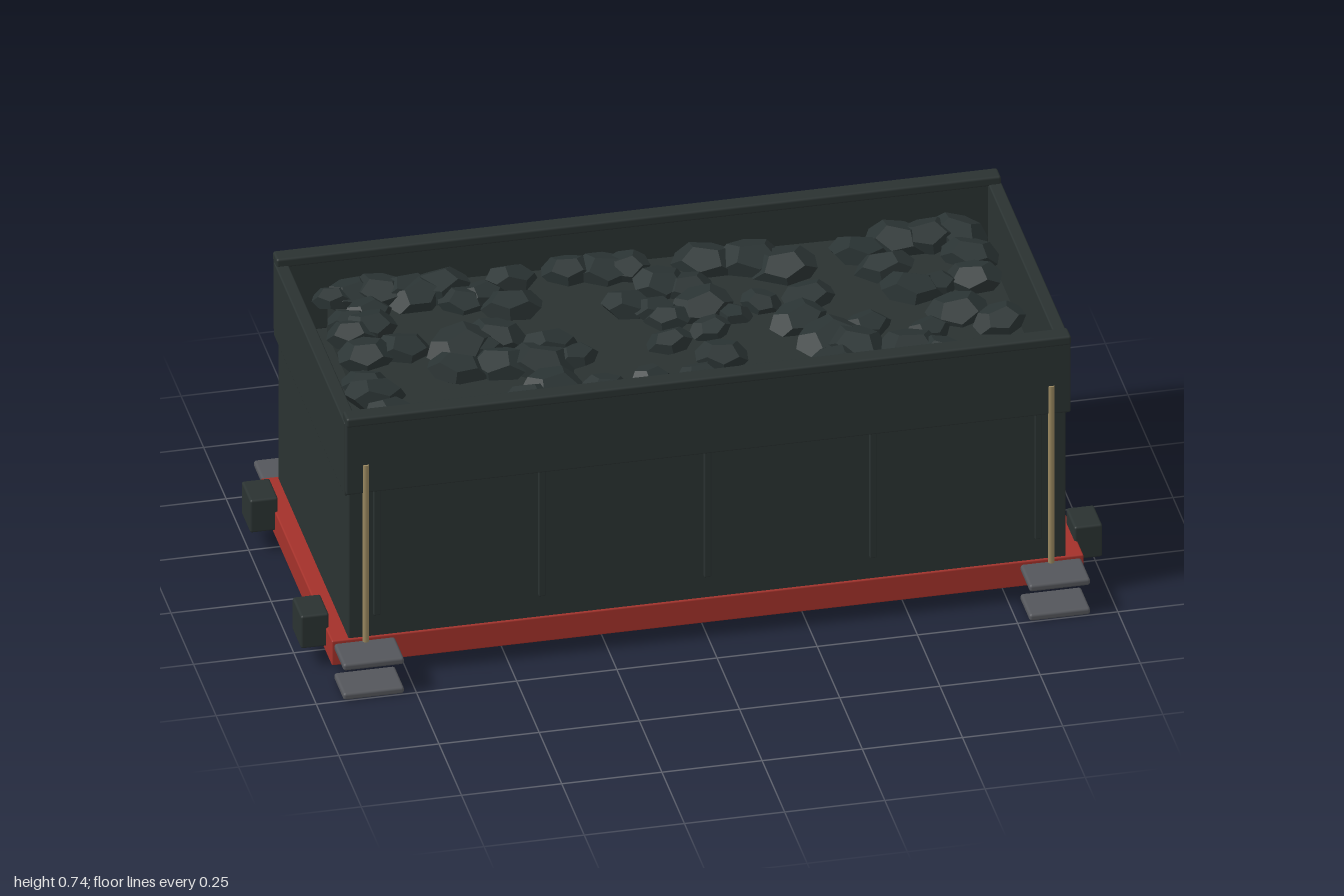
import * as THREE from 'three';
import { RoundedBoxGeometry } from 'three/addons/geometries/RoundedBoxGeometry.js';

const mat = (name, color, flatShading = false) => {
  const m = new THREE.MeshStandardMaterial({ color, flatShading });
  m.name = name;
  return m;
};

export function createModel() {
  const model = new THREE.Group();
  model.name = 'coalBunker';
  const dark = mat('dark paint', 0x2a3231);
  const red = mat('red frame paint', 0xa3312a);
  const steel = mat('step steel', 0x54565b);
  const brass = mat('brass', 0x9a8860);
  const coal = mat('coal', 0x2a3333, true);

  const add = (name, geo, material, x, y, z) => {
    const m = new THREE.Mesh(geo, material);
    m.name = name;
    m.position.set(x, y, z);
    model.add(m);
    return m;
  };
  // Slightly rounded box given by its limits
  const block = (name, material, [x0, x1], [y0, y1], [z0, z1], r = 0.004) =>
    add(name, new RoundedBoxGeometry(x1 - x0, y1 - y0, z1 - z0, 2, r), material,
      (x0 + x1) / 2, (y0 + y1) / 2, (z0 + z1) / 2);
  // Limits mirrored to one side of the model
  const side = (s, a, b) => (s > 0 ? [a, b] : [-b, -a]);

  // Frame and tank
  block('frame', red, [-0.938, 0.938], [0.04, 0.11], [-0.397, 0.397]);
  block('tank', dark, [-0.895, 0.895], [0.105, 0.525], [-0.392, 0.392]);

  for (const s of [-1, 1]) {
    // Upper boards and top rails
    block('sideBoard', dark, [-0.904, 0.904], [0.525, 0.725], side(s, 0.378, 0.407));
    block('topRail', dark, [-0.904, 0.904], [0.717, 0.742], side(s, 0.366, 0.412), 0.006);
    block('endBoard', dark, side(s, 0.873, 0.906), [0.515, 0.722], [-0.393, 0.393]);

    // Side ribs
    for (const x of [-0.825, -0.413, 0, 0.413, 0.825])
      block('sideRib', dark, [x - 0.009, x + 0.009], [0.17, 0.53], side(s, 0.38, 0.4), 0.003);

    for (const t of [-1, 1]) {
      // Corner handrails, steps and buffers
      add('handrail', new THREE.CylinderGeometry(0.008, 0.008, 0.5, 12), brass, t * 0.855, 0.355, s * 0.405);
      for (const y of [0, 0.083])
        block('step', steel, side(t, 0.78, 0.932), [y, y + 0.019], side(s, 0.393, 0.5), 0.007);
      block('buffer', dark, side(t, 0.93, 1), [0.057, 0.149], side(s, 0.233, 0.331), 0.006);
    }
  }

  // Coal bed, sloping slightly down towards +x
  const slope = -0.015;
  const bedY = (x) => 0.63 + slope * (x - 0.03);
  const bed = add('coalBed', new THREE.BoxGeometry(1.62, 0.12, 0.71), dark, 0.03, 0.57, 0);
  bed.rotation.z = Math.atan(slope);

  // Coal lumps: x, z pairs
  const spots = [
    -0.78, -0.3, -0.73, -0.33, -0.66, -0.33, -0.59, -0.33, -0.52, -0.31, -0.58, -0.27,
    -0.47, -0.23, -0.42, -0.25, -0.36, -0.18, -0.33, -0.32, -0.71, -0.22, -0.76, -0.19,
    -0.77, -0.13, -0.72, -0.15, -0.76, -0.02, -0.79, 0.11, -0.78, 0.17, -0.76, 0.24,
    -0.66, -0.04, -0.53, -0.01, -0.55, 0.08, -0.47, 0, -0.43, -0.05, -0.45, 0.08,
    -0.31, 0.02, -0.35, 0.1, -0.26, 0.08, -0.42, 0.26, -0.4, 0.32, -0.35, 0.23,
    -0.22, 0.25, -0.19, -0.32, -0.1, -0.33, -0.05, -0.3, 0.15, -0.33, 0.02, -0.21,
    0.08, -0.19, -0.08, -0.13, -0.02, -0.1, 0, -0.05, 0.09, -0.08, 0.09, 0.02,
    0.16, -0.05, 0.24, -0.08, -0.02, 0.06, 0.09, 0.15, -0.1, 0.21, -0.13, 0.31,
    0.02, 0.22, -0.02, 0.31, 0.05, 0.32, 0.33, -0.23, 0.26, -0.28, 0.36, -0.09,
    0.31, 0.02, 0.36, 0.12, 0.47, 0.07, 0.42, 0.17, 0.35, 0.25, 0.48, 0.31,
    0.55, 0.2, 0.61, 0.13, 0.62, 0.24, 0.62, -0.08, 0.57, -0.18, 0.53, -0.28,
    0.63, -0.33, 0.7, -0.3, 0.78, -0.32, 0.79, -0.21, 0.77, -0.09, 0.68, -0.08,
    0.7, 0.05, 0.79, 0.12,
  ];
  let seed = 7;
  const rnd = () => (seed = (seed * 16807) % 2147483647) / 2147483647;
  const lump = new THREE.DodecahedronGeometry(1, 0);
  const pile = new THREE.Group();
  pile.name = 'coalPile';
  for (let i = 0; i < spots.length; i += 2) {
    const r = 0.046 + 0.032 * rnd();
    const m = new THREE.Mesh(lump, coal);
    m.name = 'coalLump';
    const [x, z] = [spots[i], spots[i + 1]];
    const limit = 0.375 - r;
    m.position.set(x, bedY(x) + 0.004 + 0.012 * rnd(), Math.max(-limit, Math.min(limit, z)));
    m.scale.set(r * 1.15, r * 0.6, r * 0.95);
    m.rotation.set(0.4 * (rnd() - 0.5), 1.2 * (rnd() - 0.5), 0.4 * (rnd() - 0.5));
    pile.add(m);
  }
  model.add(pile);
  return model;
}
